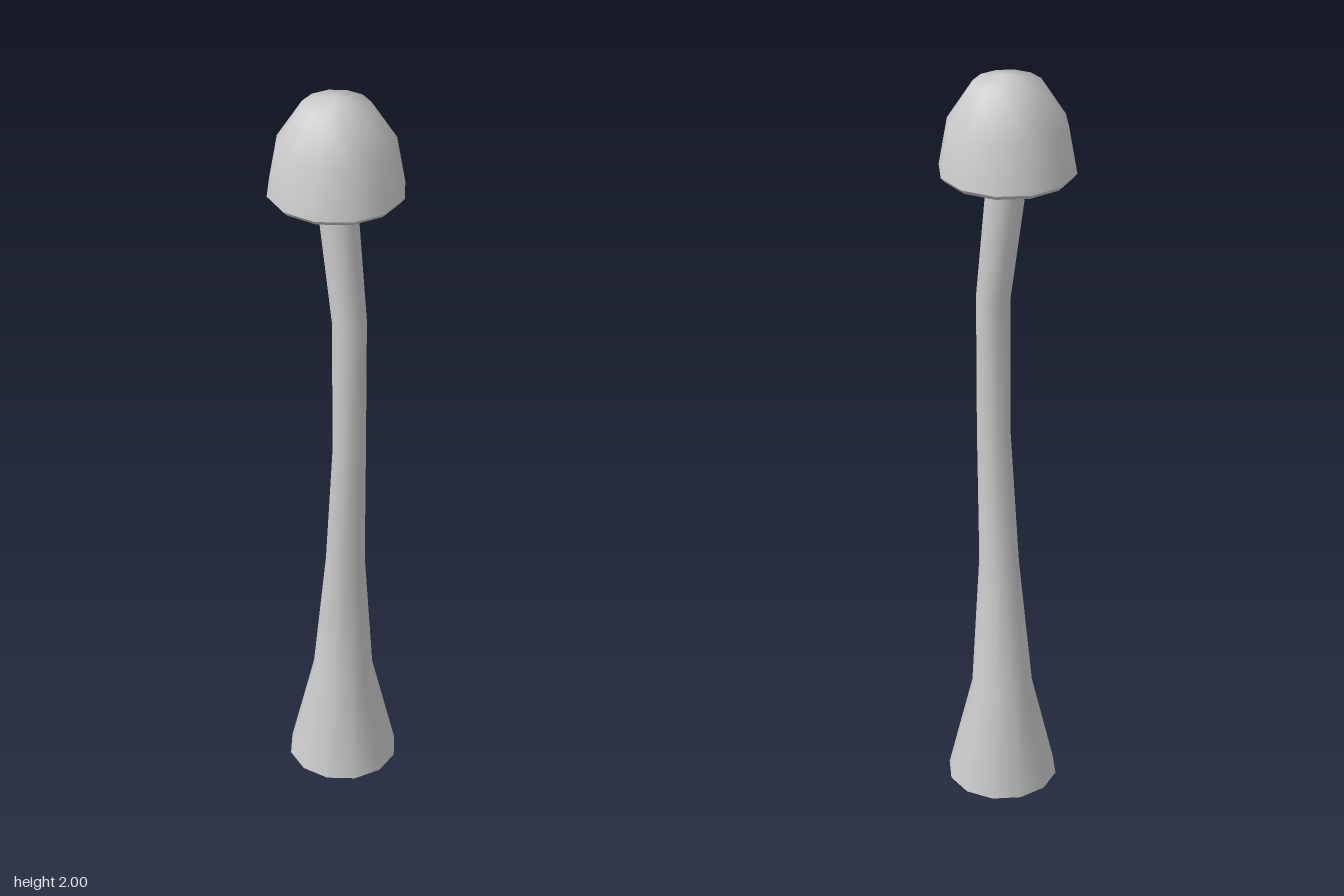
import * as THREE from 'three';
import { mergeVertices } from 'three/addons/utils/BufferGeometryUtils.js';

const SIDES = 12;
const material = new THREE.MeshStandardMaterial({ color: 0xcccccc, side: THREE.DoubleSide });

// Weld the seam so the smooth shading runs all the way round
function smooth(geometry) {
  geometry.deleteAttribute('normal');
  geometry.deleteAttribute('uv');
  const welded = mergeVertices(geometry, 1e-5);
  welded.computeVertexNormals();
  return welded;
}

function addPart(group, name, geometry) {
  const mesh = new THREE.Mesh(geometry, material);
  mesh.name = name;
  group.add(mesh);
}

// Bent, flared stem: an open tube whose rings are moved to the given stations
function stemGeometry() {
  // height, centre x, centre z, radius (top to bottom)
  const rings = [
    [1.75, 0, 0, 0.051],
    [1.4, 0.025, 0.037, 0.044],
    [1.02, 0.025, 0.037, 0.044],
    [0.65, 0.024, 0, 0.053],
    [0.28, 0.024, -0.025, 0.082],
    [0, 0.024, -0.024, 0.147],
  ];
  const geometry = new THREE.CylinderGeometry(1, 1, 1, SIDES, rings.length - 1, true);
  const p = geometry.attributes.position;
  for (let i = 0; i < p.count; i++) {
    const [y, cx, cz, r] = rings[Math.floor(i / (SIDES + 1))];
    p.setXYZ(i, cx + r * p.getX(i), y, cz + r * p.getZ(i));
  }
  return smooth(geometry);
}

// Surface of revolution from [radius, height] pairs, bottom to top
function lathe(profile) {
  return new THREE.LatheGeometry(profile.map(([r, y]) => new THREE.Vector2(r, y)), SIDES);
}

export function createModel() {
  const group = new THREE.Group();
  group.name = 'mushroom';

  addPart(group, 'stem', stemGeometry());

  // Domed cap, with a sharp edge to its turned-in rim and flat underside
  addPart(group, 'capDome', smooth(lathe([[0.171, 1.757], [0.149, 1.88], [0.085, 1.98], [0, 2]])));
  addPart(group, 'capUnderside', smooth(lathe([[0, 1.745], [0.161, 1.745], [0.171, 1.757]])));

  return group;
}
